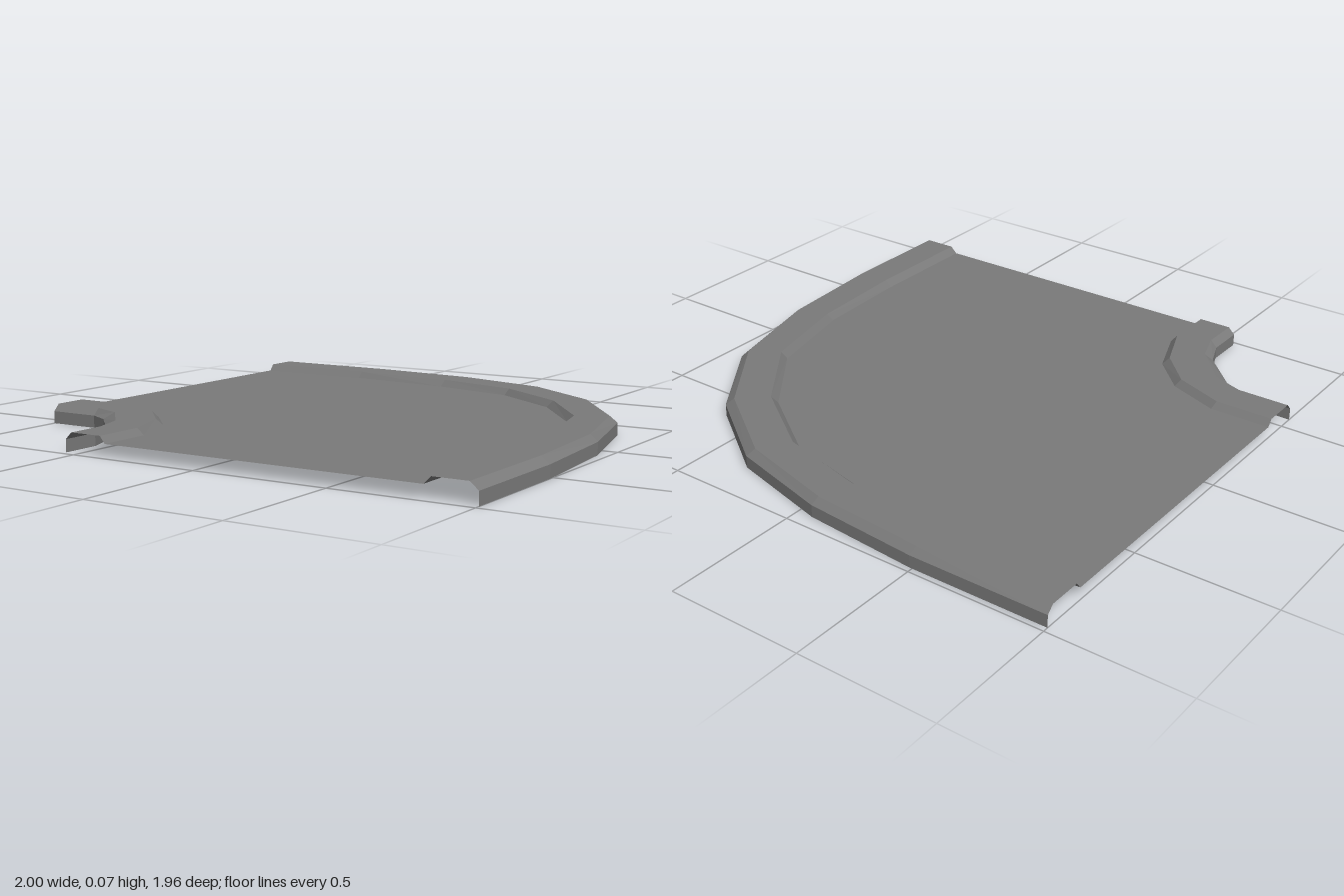
import * as THREE from 'three';

const WALL_TOP = 0.045, KERB_TOP = 0.07;

// Plan lines as [x, z], running from the left end round to the front end.
const outer = {
  wall: [[-1, -0.98], [-0.49, -0.98], [-0.06, -0.945], [0.325, -0.845], [0.64, -0.625], [0.867, -0.31], [0.965, 0.085], [1, 0.52], [1, 0.98]],
  crest: [[-1, -0.955], [-0.5, -0.955], [-0.07, -0.92], [0.305, -0.82], [0.615, -0.605], [0.842, -0.295], [0.94, 0.09], [0.97, 0.52], [0.97, 0.98]],
  lip: [[-1, -0.83], [-0.53, -0.83], [-0.105, -0.795], [0.235, -0.71], [0.52, -0.515], [0.735, -0.23], [0.82, 0.13], [0.845, 0.53], [0.845, 0.98]],
  foot: [[-1, -0.81], [-0.535, -0.81], [-0.11, -0.77], [0.225, -0.69], [0.5, -0.5], [0.715, -0.22], [0.8, 0.14], [0.82, 0.53], [0.82, 0.98]],
};
const inner = {
  wall: [[-1, 0.56], [-0.805, 0.56], [-0.725, 0.6], [-0.59, 0.735], [-0.55, 0.837], [-0.55, 0.98]],
  crest: [[-1, 0.535], [-0.805, 0.535], [-0.69, 0.577], [-0.565, 0.715], [-0.525, 0.837], [-0.525, 0.98]],
  lip: [[-1, 0.41], [-0.783, 0.41], [-0.597, 0.482], [-0.473, 0.61], [-0.4, 0.794], [-0.4, 0.98]],
  foot: [[-1, 0.39], [-0.773, 0.39], [-0.582, 0.463], [-0.453, 0.592], [-0.38, 0.783], [-0.38, 0.98]],
};

// Open kerb shell: outside wall, bevel, flat top and bevel down to the road.
function kerbGeometry({ wall, crest, lip, foot }, flip) {
  const rows = [[wall, 0], [wall, WALL_TOP], [crest, KERB_TOP], [lip, KERB_TOP], [foot, WALL_TOP]]
    .map(([line, y]) => line.map(([x, z]) => [x, y, z]));
  const pos = [];
  for (let r = 0; r < rows.length - 1; r++) {
    for (let i = 0; i < wall.length - 1; i++) {
      const a = rows[r][i], b = rows[r][i + 1], c = rows[r + 1][i + 1], d = rows[r + 1][i];
      const quad = flip ? [a, b, c, a, c, d] : [a, c, b, a, d, c];
      pos.push(...quad.flat());
    }
  }
  const geo = new THREE.BufferGeometry();
  geo.setAttribute('position', new THREE.Float32BufferAttribute(pos, 3));
  geo.computeVertexNormals();
  return geo;
}

// Flat road between the feet of the two kerbs.
function roadGeometry() {
  const outline = [...outer.foot, ...[...inner.foot].reverse()];
  const shape = new THREE.Shape(outline.map(([x, z]) => new THREE.Vector2(x, -z)));
  return new THREE.ShapeGeometry(shape).rotateX(-Math.PI / 2).translate(0, WALL_TOP, 0);
}

export function createModel() {
  const group = new THREE.Group();
  group.name = 'curvedRoad';
  const grey = new THREE.MeshStandardMaterial({ color: 0x7a7a7a, side: THREE.DoubleSide, flatShading: true });
  grey.name = 'grey';

  const add = (name, geo) => {
    const mesh = new THREE.Mesh(geo, grey);
    mesh.name = name;
    group.add(mesh);
  };
  add('road', roadGeometry());
  add('outerKerb', kerbGeometry(outer, false));
  add('innerKerb', kerbGeometry(inner, true));
  return group;
}
